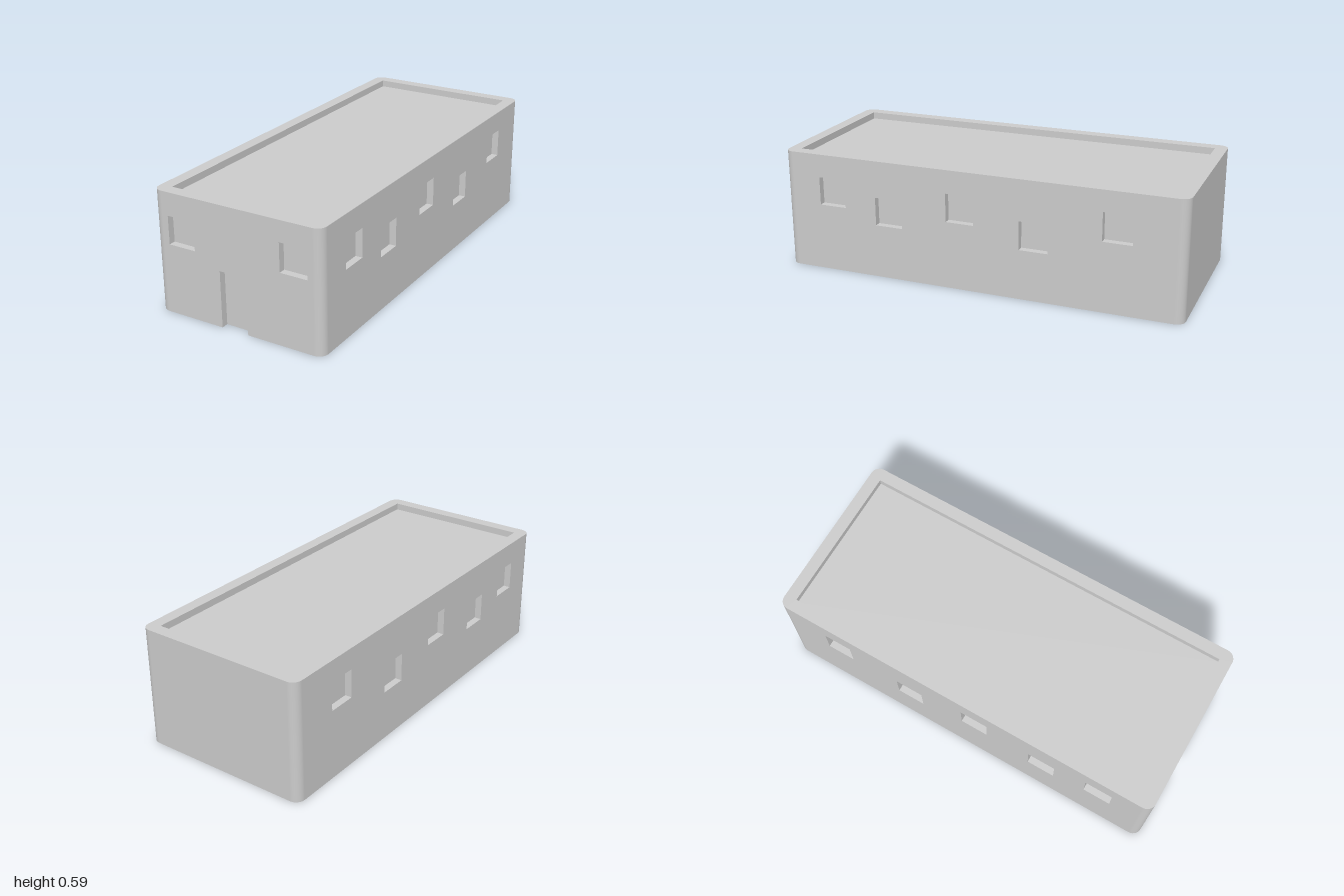
import * as THREE from 'three';

const HX = 0.432, HZ = 1, H = 0.587;   // half width, half length, height
const R = 0.045;                       // rounded corner radius
const DEPTH = 0.034;                   // depth of every recess
const RIM_X = 0.372, RIM_Z = 0.94;     // inside of the parapet

const material = new THREE.MeshStandardMaterial({ color: 0xcccccc, side: THREE.DoubleSide });

function add(parent, geometry, name) {
  const mesh = new THREE.Mesh(geometry, material);
  mesh.name = name;
  parent.add(mesh);
  return mesh;
}

// Box shell sunk behind z = 0, open at the front (and below, for the door)
function pocket(w, h, openBelow = false) {
  const g = new THREE.BoxGeometry(w, h, DEPTH).translate(0, 0, -DEPTH / 2);
  const index = Array.from(g.index.array);
  g.setIndex(index.filter((_, i) => {
    const face = Math.floor(i / 6);
    return face !== 4 && !(openBelow && face === 3);
  }));
  return g;
}

// Thin wall facing +z with sunken windows [u0, u1, y0, y1] and an optional door
function makeWall(name, halfWidth, windows = [], door = null) {
  const wall = new THREE.Group();
  wall.name = name;
  const shape = new THREE.Shape();
  shape.moveTo(-halfWidth, 0);
  if (door) {
    shape.lineTo(door[0], 0);
    shape.lineTo(door[0], door[3]);
    shape.lineTo(door[1], door[3]);
    shape.lineTo(door[1], 0);
  }
  shape.lineTo(halfWidth, 0);
  shape.lineTo(halfWidth, H);
  shape.lineTo(-halfWidth, H);
  shape.closePath();

  const recess = ([u0, u1, y0, y1], label, openBelow) =>
    add(wall, pocket(u1 - u0, y1 - y0, openBelow), label)
      .position.set((u0 + u1) / 2, (y0 + y1) / 2, 0);

  for (const w of windows) {
    const [u0, u1, y0, y1] = w;
    const hole = new THREE.Path();
    hole.moveTo(u0, y0);
    hole.lineTo(u0, y1);
    hole.lineTo(u1, y1);
    hole.lineTo(u1, y0);
    hole.closePath();
    shape.holes.push(hole);
    recess(w, 'windowRecess', false);
  }
  if (door) recess(door, 'doorRecess', true);
  add(wall, new THREE.ShapeGeometry(shape), 'wallPanel');
  return wall;
}

export function createModel() {
  const model = new THREE.Group();
  model.name = 'building';

  // Front and back walls
  const front = makeWall('frontWall', HX - R,
    [[-0.357, -0.218, 0.338, 0.475], [0.225, 0.362, 0.347, 0.486]],
    [-0.088, 0.05, 0, 0.275]);
  front.position.z = HZ;
  const back = makeWall('backWall', HX - R);
  back.position.z = -HZ;
  back.rotation.y = Math.PI;
  model.add(front, back);

  // Side walls: the same windows mirrored, given as z range and y range
  const sideWindows = [
    [0.675, 0.813, 0.332, 0.472],
    [0.373, 0.513, 0.265, 0.405],
    [0.005, 0.145, 0.332, 0.472],
    [-0.36, -0.22, 0.245, 0.385],
    [-0.755, -0.615, 0.343, 0.483],
  ];
  for (const side of [1, -1]) {
    const windows = sideWindows.map(([z0, z1, y0, y1]) =>
      side > 0 ? [-z1, -z0, y0, y1] : [z0, z1, y0, y1]);
    const wall = makeWall(side > 0 ? 'leftWall' : 'rightWall', HZ - R, windows);
    wall.position.x = side * HX;
    wall.rotation.y = side * Math.PI / 2;
    model.add(wall);
  }

  // Rounded vertical corners
  [[1, 1], [1, -1], [-1, -1], [-1, 1]].forEach(([sx, sz], i) => {
    const g = new THREE.CylinderGeometry(R, R, H, 6, 1, true, i * Math.PI / 2, Math.PI / 2);
    add(model, g, 'cornerWall').position.set(sx * (HX - R), H / 2, sz * (HZ - R));
  });

  // Flat top of the parapet
  const rim = new THREE.Shape();
  [[1, 1], [-1, 1], [-1, -1], [1, -1]].forEach(([sx, sy], i) =>
    rim.absarc(sx * (HX - R), sy * (HZ - R), R, i * Math.PI / 2, (i + 1) * Math.PI / 2));
  rim.closePath();
  const opening = new THREE.Path();
  opening.moveTo(-RIM_X, -RIM_Z);
  opening.lineTo(-RIM_X, RIM_Z);
  opening.lineTo(RIM_X, RIM_Z);
  opening.lineTo(RIM_X, -RIM_Z);
  opening.closePath();
  rim.holes.push(opening);
  const rimTop = add(model, new THREE.ShapeGeometry(rim, 6), 'parapetTop');
  rimTop.rotation.x = -Math.PI / 2;
  rimTop.position.y = H;

  // Sunken roof with the inner faces of the parapet
  const roof = add(model, pocket(2 * RIM_X, 2 * RIM_Z), 'roof');
  roof.rotation.x = -Math.PI / 2;
  roof.position.y = H;

  return model;
}
